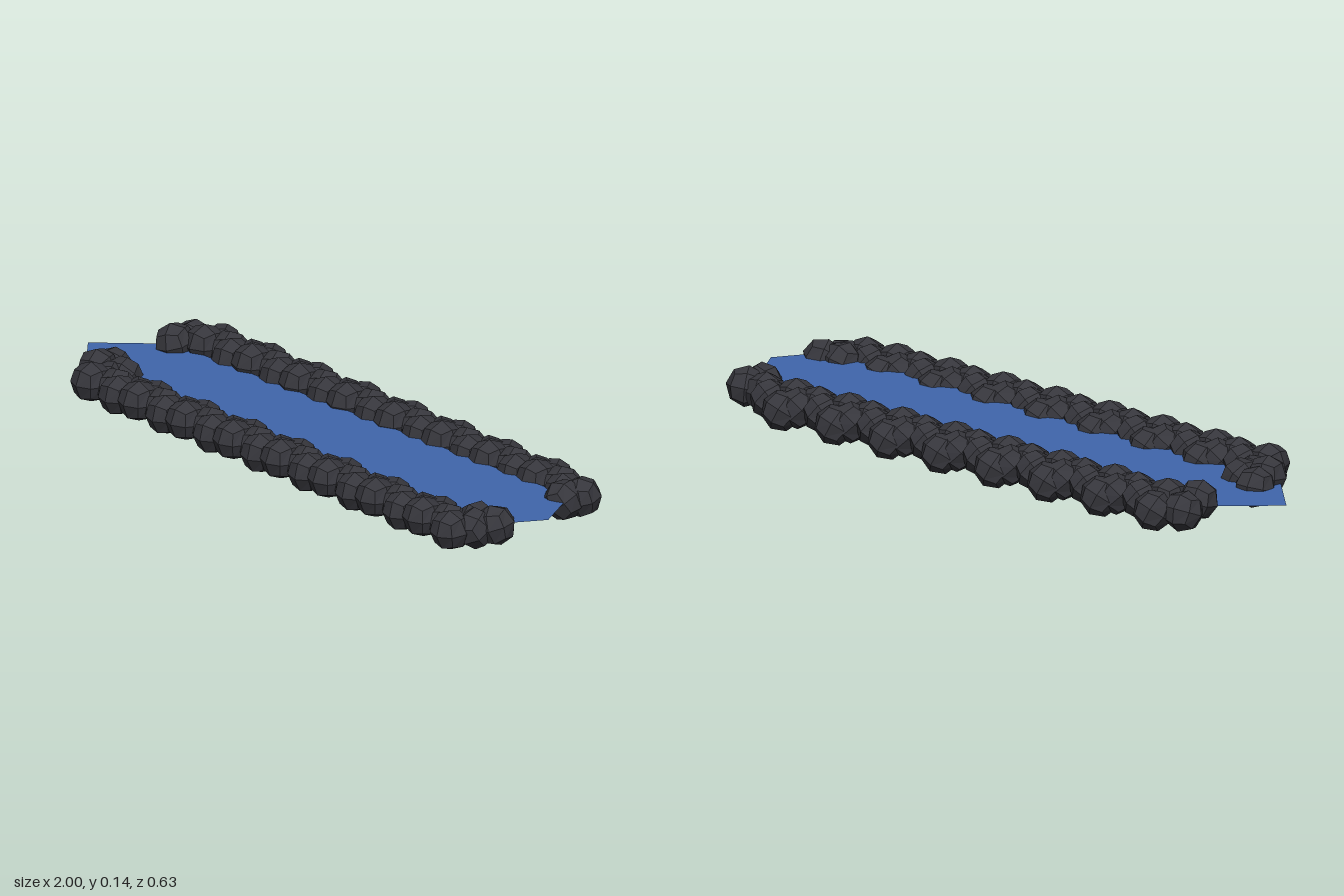
import * as THREE from 'three';

const rockMat = new THREE.MeshStandardMaterial({ color: 0x36363c, flatShading: true });
const waterMat = new THREE.MeshStandardMaterial({ color: 0x4066ac, flatShading: true, side: THREE.DoubleSide });

// Rounded boulder: a cube with 2x2 faces per side pushed out to a sphere
function boulderGeometry(radius) {
  const geo = new THREE.BoxGeometry(1, 1, 1, 2, 2, 2);
  const pos = geo.attributes.position;
  const v = new THREE.Vector3();
  for (let i = 0; i < pos.count; i++) {
    v.fromBufferAttribute(pos, i).setLength(radius);
    pos.setXYZ(i, v.x, v.y, v.z);
  }
  geo.computeVertexNormals();
  return geo;
}

export function createModel() {
  const model = new THREE.Group();
  const rockGeo = boulderGeometry(0.062);

  function addRock(parent, [x, y, z, rx = 0, ry = 0, rz = 0]) {
    const rock = new THREE.Mesh(rockGeo, rockMat);
    rock.name = 'boulder';
    rock.position.set(x, y, z);
    rock.rotation.set(rx, ry, rz);
    parent.add(rock);
  }

  // Water: long hexagonal sheet, sloping gently up toward +x
  const outline = [[-1, 0.025], [-0.83, 0.19], [0.9, 0.19], [1, 0.025], [0.9, -0.15], [-0.82, -0.15]];
  const waterGeo = new THREE.ShapeGeometry(new THREE.Shape(outline.map(([x, z]) => new THREE.Vector2(x, -z))));
  waterGeo.rotateX(-Math.PI / 2);
  const pos = waterGeo.attributes.position;
  for (let i = 0; i < pos.count; i++) pos.setY(i, 0.079 + 0.015 * pos.getX(i));
  waterGeo.computeVertexNormals();
  const water = new THREE.Mesh(waterGeo, waterMat);
  water.name = 'water';
  model.add(water);

  // One cluster of boulders, repeated along each bank
  const cluster = [
    [-0.73, 0.082, -0.19],
    [-0.61, 0.075, -0.19, 0.1, 0.1, 0],
    [-0.735, 0.062, -0.26, 0.4, 0.5, 0.3],
    [-0.66, 0.072, -0.225, 0.7, 0.3, 0.5],
    [-0.565, 0.07, -0.23, 0.3, 0.9, 0.6],
  ];
  const step = 0.206;
  const banks = [
    {
      name: 'backBank', shift: 0,
      ends: [
        [-0.81, 0.065, -0.215, 0.4, 0.2, 0], [-0.8, 0.08, -0.137, 0.1, 0.4, 0.2],
        [0.885, 0.08, -0.14, 0.3, 0.2, 0.5], [0.9, 0.08, -0.195, 0.2, 0.6, 0],
      ],
    },
    {
      name: 'frontBank', shift: 0.445,
      ends: [
        [-0.81, 0.062, 0.103, 0.3, 0.3, 0], [-0.73, 0.065, 0.135, 0.5, 0.2, 0.4], [-0.8, 0.08, 0.167, 0.1, 0.3, 0],
        [0.845, 0.08, 0.162, 0.4, 0, 0.2], [0.905, 0.082, 0.147, 0, 0.5, 0.3], [0.87, 0.075, 0.195, 0.6, 0.2, 0.1],
      ],
    },
  ];
  for (const { name, shift, ends } of banks) {
    const bank = new THREE.Group();
    bank.name = name;
    for (let k = 0; k < 8; k++) {
      cluster.forEach(([x, y, z, ...rot], i) => {
        if (k === 7 && i === 4) return;
        addRock(bank, [x + k * step, y, z + shift, ...rot]);
      });
    }
    ends.forEach((r) => addRock(bank, r));
    model.add(bank);
  }
  return model;
}
